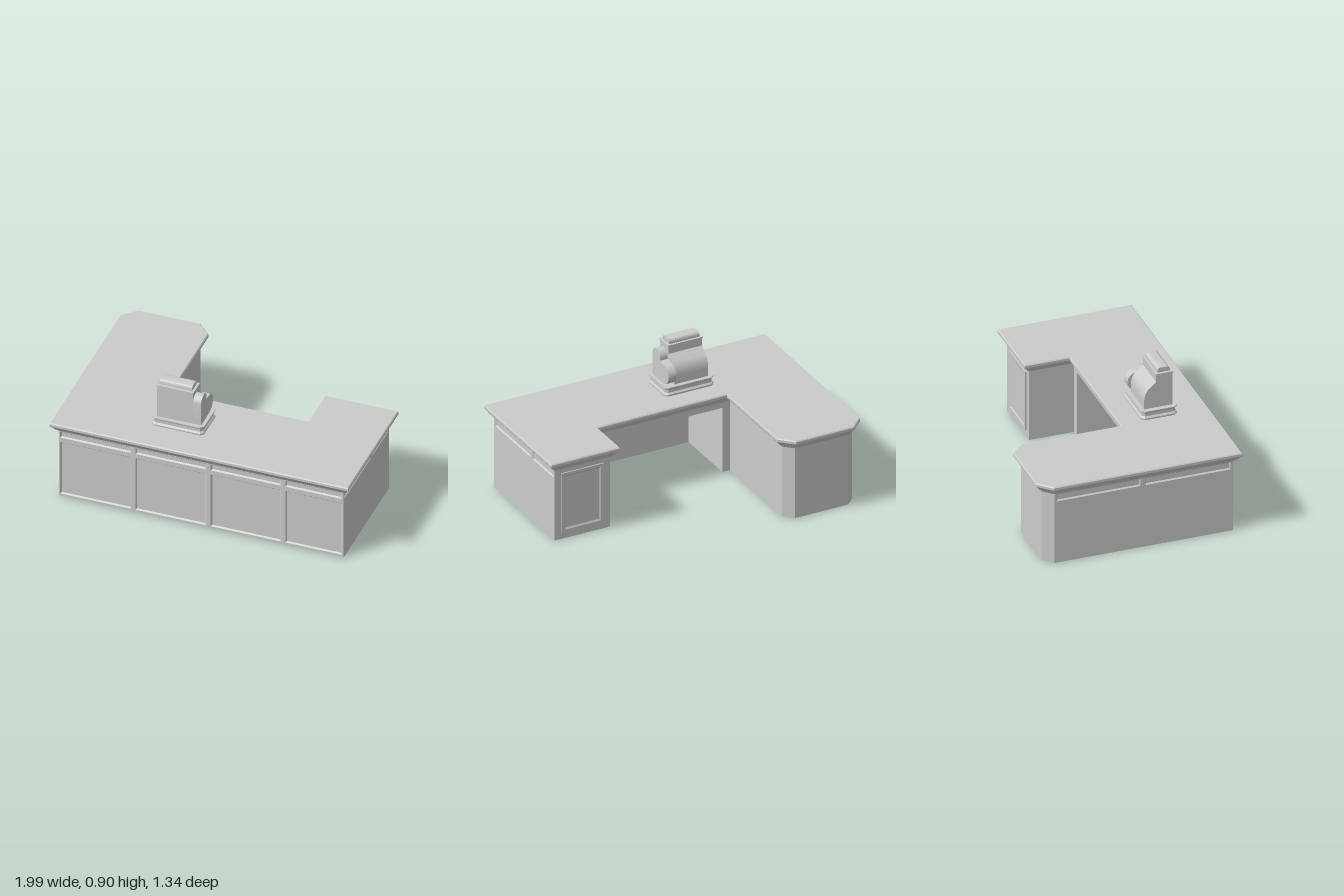
import * as THREE from 'three';
import { toCreasedNormals } from 'three/addons/utils/BufferGeometryUtils.js';

const material = new THREE.MeshStandardMaterial({ color: 0xcccccc });

function add(parent, name, geometry) {
  const mesh = new THREE.Mesh(geometry, material);
  mesh.name = name;
  parent.add(mesh);
  return mesh;
}

const toShape = (pts) => new THREE.Shape(pts.map(([x, y]) => new THREE.Vector2(x, y)));
const rect = (x0, y0, x1, y1) => [[x0, y0], [x1, y0], [x1, y1], [x0, y1]];
const extrude = (shape, depth) =>
  new THREE.ExtrudeGeometry(shape, { depth, bevelEnabled: false, curveSegments: 16 });

// Mitred outward offset of a counter-clockwise outline
function offset(pts, d) {
  const normal = (a, b) => {
    const l = Math.hypot(b[0] - a[0], b[1] - a[1]);
    return [(b[1] - a[1]) / l, (a[0] - b[0]) / l];
  };
  return pts.map((p, i) => {
    const n = normal(pts[(i + pts.length - 1) % pts.length], p);
    const m = normal(p, pts[(i + 1) % pts.length]);
    const k = d / (1 + n[0] * m[0] + n[1] * m[1]);
    return [p[0] + (n[0] + m[0]) * k, p[1] + (n[1] + m[1]) * k];
  });
}

// Sweep a moulding profile of [offset, height] around an outline, capped at both ends
function moulding(outline, profile, bottomCap = true) {
  const rings = profile.map(([d, h]) => offset(outline, d).map(([x, y]) => [x, y, h]));
  const pos = [];
  const tri = (a, b, c) => pos.push(...a, ...b, ...c);
  const n = outline.length;
  for (let r = 0; r + 1 < rings.length; r++) {
    for (let i = 0; i < n; i++) {
      const j = (i + 1) % n;
      const [a, b, c, d] = [rings[r][i], rings[r][j], rings[r + 1][j], rings[r + 1][i]];
      tri(a, b, c);
      tri(a, c, d);
    }
  }
  const cap = (ring, flip) => {
    const contour = ring.map(([x, y]) => new THREE.Vector2(x, y));
    for (const [a, b, c] of THREE.ShapeUtils.triangulateShape(contour, [])) {
      if (flip) tri(ring[a], ring[c], ring[b]);
      else tri(ring[a], ring[b], ring[c]);
    }
  };
  cap(rings[rings.length - 1], false);
  if (bottomCap) cap(rings[0], true);
  const geometry = new THREE.BufferGeometry();
  geometry.setAttribute('position', new THREE.Float32BufferAttribute(pos, 3));
  geometry.computeVertexNormals();
  return geometry;
}

// Face frame with bevelled recessed panels, built facing +z with its back on z = 0
const PLATE = 0.01;
function panelledFace(name, outer, panels) {
  const face = new THREE.Group();
  face.name = name;
  const shape = toShape(outer);
  for (const p of panels) shape.holes.push(new THREE.Path(toShape(p).getPoints()));
  add(face, name + 'Frame', extrude(shape, PLATE));
  for (const p of panels) {
    add(face, name + 'Panel', moulding(p, [[0, PLATE], [-0.008, 0.001]], false));
  }
  return face;
}

function buildDesk() {
  const desk = new THREE.Group();
  desk.name = 'desk';

  // Cabinet with the knee space cut in from behind; outline is (x, -z)
  const body = [
    [-0.94, -0.615], [0.94, -0.615], [0.94, 0.165], [0.95, 0.165], [0.95, 0.175],
    [0.555, 0.175], [0.555, -0.125], [0.5, -0.125], [0.5, -0.57], [-0.4, -0.57],
    [-0.4, -0.125], [-0.455, -0.125], [-0.455, 0.565], [-0.515, 0.625],
    [-0.89, 0.625], [-0.95, 0.565], [-0.94, 0.565],
  ];
  add(desk, 'cabinet', extrude(toShape(body), 0.51).rotateX(-Math.PI / 2));
  add(desk, 'kneeSpaceCeiling',
    new THREE.BoxGeometry(0.92, 0.055, 0.45).translate(0.05, 0.4825, 0.35));

  // Stepped worktop
  const top = [
    [-0.95, -0.625], [0.95, -0.625], [0.95, 0.175], [0.555, 0.175], [0.555, -0.125],
    [-0.455, -0.125], [-0.455, 0.565], [-0.515, 0.625], [-0.89, 0.625], [-0.95, 0.565],
  ];
  const edge = [[0, 0.495], [0.012, 0.506], [0.017, 0.515], [0.022, 0.517], [0.036, 0.538],
    [0.041, 0.541], [0.047, 0.548], [0.047, 0.564], [0.041, 0.571]];
  add(desk, 'worktop', moulding(top, edge).rotateX(-Math.PI / 2));

  // Front: four doors, each with a drawer above
  const bays = [[-0.943, -0.47], [-0.44, 0.03], [0.062, 0.53], [0.56, 0.937]];
  const front = panelledFace('front', rect(-0.95, 0, 0.95, 0.51),
    bays.flatMap(([a, b]) => [rect(a, 0.018, b, 0.412), rect(a, 0.445, b, 0.49)]));
  front.position.z = 0.615;
  desk.add(front);

  // Sides: a pair of shallow drawers each
  const left = panelledFace('leftSide', rect(-0.615, 0, 0.165, 0.51),
    [rect(-0.61, 0.44, -0.142, 0.492), rect(-0.115, 0.44, 0.16, 0.492)]);
  left.rotation.y = Math.PI / 2;
  left.position.x = 0.94;
  desk.add(left);
  const right = panelledFace('rightSide', rect(-0.565, 0, 0.615, 0.51),
    [rect(-0.55, 0.44, 0.01, 0.492), rect(0.04, 0.44, 0.61, 0.492)]);
  right.rotation.y = -Math.PI / 2;
  right.position.x = -0.94;
  desk.add(right);

  // Door on the back of the short wing
  const door = add(desk, 'backDoor', moulding(rect(-0.9, 0.045, -0.605, 0.465),
    [[0, 0], [0, 0.007], [-0.018, 0.007], [-0.03, 0.001]], false));
  door.rotation.y = Math.PI;
  door.position.z = -0.175;
  return desk;
}

// Extrude a (-z, y) side shape from x0 to x1
const sideways = (shape, x0, x1) =>
  toCreasedNormals(extrude(shape, x1 - x0), 0.6).rotateY(Math.PI / 2).translate(x0, 0, 0);

function buildRegister() {
  const register = new THREE.Group();
  register.name = 'cashRegister';

  // Stepped plinth with clipped corners
  const [w, d, c] = [0.165, 0.11, 0.015];
  const plinth = [[-w + c, -d], [w - c, -d], [w, -d + c], [w, d - c],
    [w - c, d], [-w + c, d], [-w, d - c], [-w, -d + c]];
  const steps = [[0.007, 0.565], [0.01, 0.575], [0.01, 0.582], [0.004, 0.589], [0, 0.592],
    [0, 0.612], [0.004, 0.622], [0.01, 0.624], [0.01, 0.631]];
  const base = add(register, 'plinth', moulding(plinth, steps).rotateX(-Math.PI / 2));
  base.position.set(-0.225, 0, 0.343);

  // Housing with sloping keyboard side
  const housing = new THREE.Shape();
  housing.moveTo(-0.437, 0.625);
  housing.lineTo(-0.25, 0.625);
  housing.lineTo(-0.25, 0.69);
  housing.quadraticCurveTo(-0.252, 0.745, -0.285, 0.772);
  housing.lineTo(-0.33, 0.81);
  housing.lineTo(-0.33, 0.865);
  housing.lineTo(-0.437, 0.865);
  add(register, 'housing', sideways(housing, -0.367, -0.127));

  // Rounded side drum
  const drum = new THREE.Shape();
  drum.moveTo(-0.437, 0.625);
  drum.lineTo(-0.29, 0.634);
  drum.absarc(-0.293, 0.7, 0.066, -Math.PI / 2, Math.PI / 2, false);
  drum.lineTo(-0.34, 0.77);
  drum.absarc(-0.388, 0.785, 0.049, 0, Math.PI, false);
  add(register, 'sideDrum', sideways(drum, -0.13, -0.073));

  // Lip and rounded top display
  add(register, 'topLip',
    new THREE.BoxGeometry(0.25, 0.008, 0.117).translate(-0.247, 0.866, 0.385));
  const display = new THREE.Shape();
  display.moveTo(-0.425, 0.868);
  display.lineTo(-0.342, 0.868);
  display.lineTo(-0.342, 0.88);
  display.absarc(-0.362, 0.882, 0.02, 0, Math.PI / 2, false);
  display.absarc(-0.405, 0.882, 0.02, Math.PI / 2, Math.PI, false);
  add(register, 'topDisplay', sideways(display, -0.355, -0.138));
  return register;
}

export function createModel() {
  const model = new THREE.Group();
  model.name = 'receptionDesk';
  model.add(buildDesk(), buildRegister());
  return model;
}
